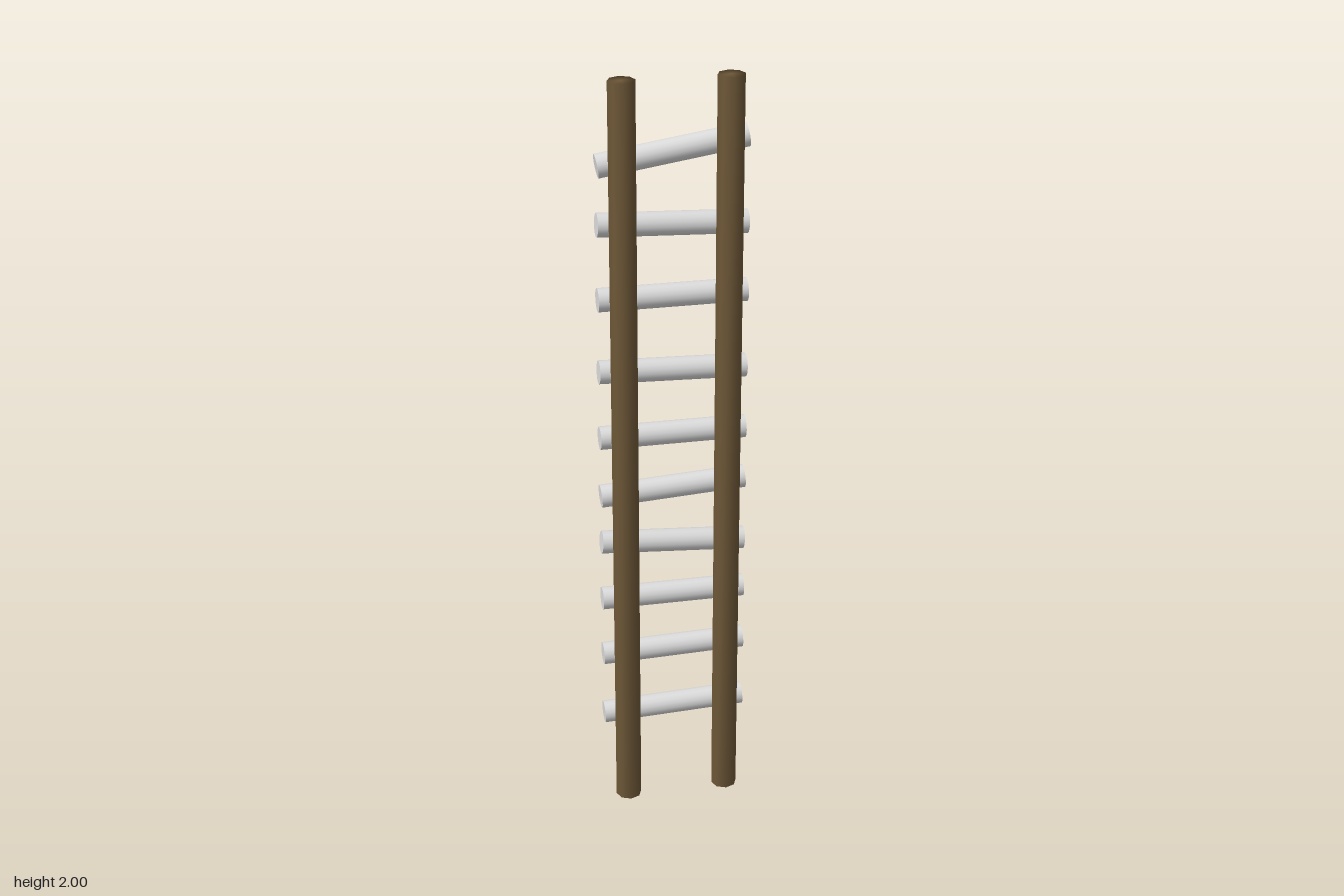
import * as THREE from 'three';
import { mergeVertices } from 'three/addons/utils/BufferGeometryUtils.js';

const wood = new THREE.MeshStandardMaterial({ color: 0x6e5838 });
wood.name = 'brown wood';
const pale = new THREE.MeshStandardMaterial({ color: 0xdcdcdc });
pale.name = 'pale grey';

// Eight-sided pole with normals shared between sides and caps
function poleGeometry() {
  const g = new THREE.CylinderGeometry(0.034, 0.034, 2, 8);
  g.deleteAttribute('normal');
  g.deleteAttribute('uv');
  const merged = mergeVertices(g);
  merged.computeVertexNormals();
  return merged;
}

export function createModel() {
  const ladder = new THREE.Group();
  ladder.name = 'ladder';

  // Two upright poles
  const poleGeo = poleGeometry();
  for (const side of [-1, 1]) {
    const pole = new THREE.Mesh(poleGeo, wood);
    pole.name = side > 0 ? 'leftPole' : 'rightPole';
    pole.position.set(side * 0.132, 1, 0.024);
    ladder.add(pole);
  }

  // Uneven rungs behind the poles: height at the -x end, height at the +x end
  const rungs = [
    [0.232, 0.247], [0.416, 0.426], [0.585, 0.585], [0.753, 0.728], [0.887, 0.909],
    [1.053, 1.053], [1.236, 1.224], [1.43, 1.43], [1.626, 1.61], [1.775, 1.832],
  ];
  const rungGeo = new THREE.CylinderGeometry(0.03, 0.03, 0.376, 16);
  rungGeo.rotateZ(-Math.PI / 2);
  rungs.forEach(([a, b], i) => {
    const rung = new THREE.Mesh(rungGeo, pale);
    rung.name = `rung${i + 1}`;
    rung.position.set(0, (a + b) / 2, -0.03);
    rung.rotation.z = Math.atan2(b - a, 0.376);
    ladder.add(rung);
  });

  return ladder;
}
